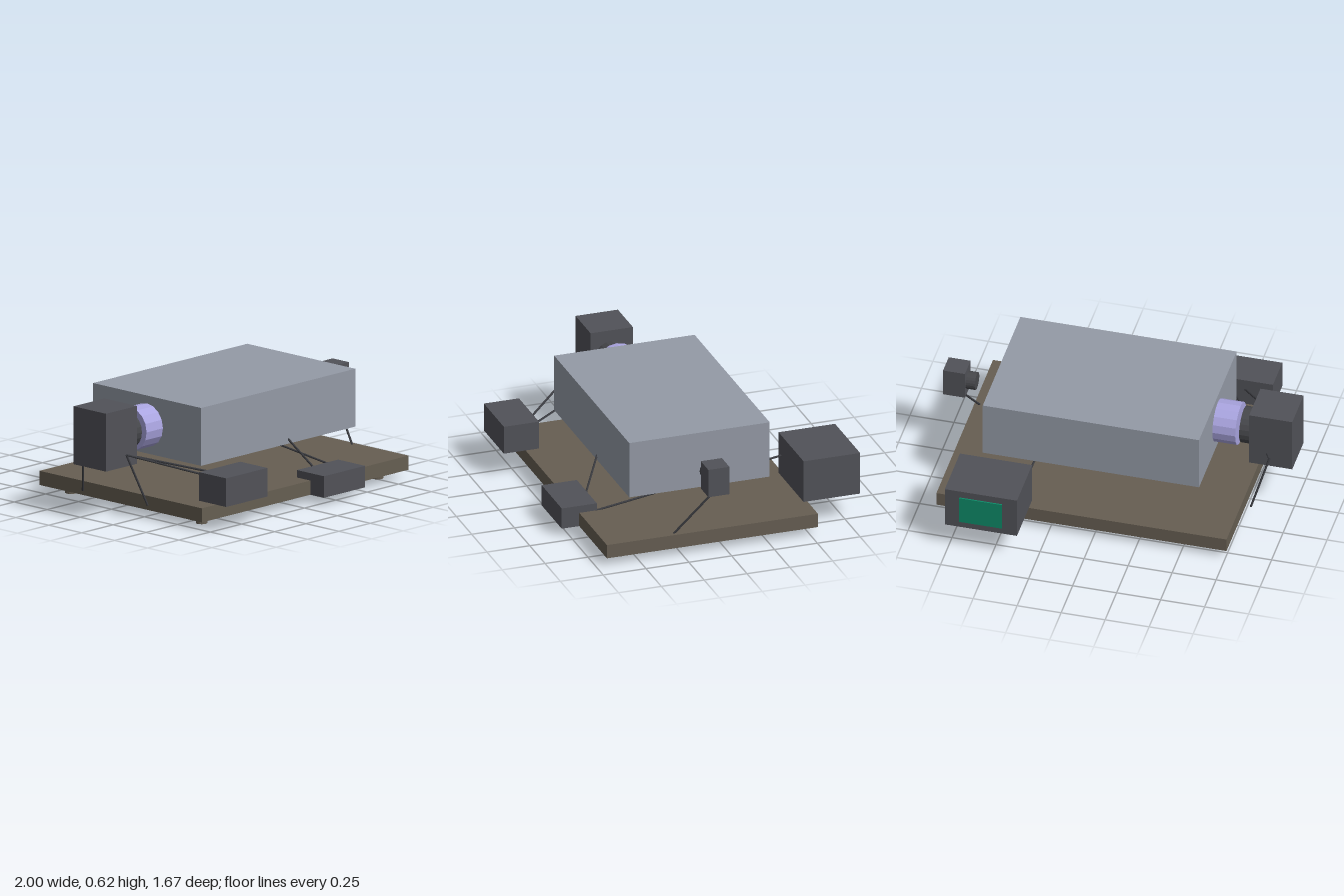
import * as THREE from 'three';

const material = (name, color) => {
  const m = new THREE.MeshStandardMaterial({ color, flatShading: true });
  m.name = name;
  return m;
};

export function createModel() {
  const model = new THREE.Group();
  model.name = 'benchInstrument';
  const grey = material('housing grey', 0x949aa6);
  const dark = material('device charcoal', 0x515258);
  const lens = material('lens black', 0x47484c);
  const cableMat = material('cable black', 0x3a3b40);
  const lavender = material('tube lavender', 0xaaa5e0);
  const brown = material('board brown', 0x665e52);
  const green = material('screen green', 0x0d8a68);

  const add = (name, geometry, mat) => {
    const mesh = new THREE.Mesh(geometry, mat);
    mesh.name = name;
    model.add(mesh);
    return mesh;
  };
  // Box given by its extents on each axis
  const box = (name, mat, [x0, x1], [y0, y1], [z0, z1]) =>
    add(name, new THREE.BoxGeometry(x1 - x0, y1 - y0, z1 - z0), mat)
      .position.set((x0 + x1) / 2, (y0 + y1) / 2, (z0 + z1) / 2);
  // Cylinder lying along x on the optical axis
  const barrel = (name, mat, x0, x1, r, sides) => {
    const mesh = add(name, new THREE.CylinderGeometry(r, r, x1 - x0, sides), mat);
    mesh.rotation.z = Math.PI / 2;
    mesh.position.set((x0 + x1) / 2, 0.455, 0.074);
  };
  // Straight thin rod between two points
  const rod = (name, from, to) => {
    const a = new THREE.Vector3(...from), b = new THREE.Vector3(...to);
    const dir = b.clone().sub(a);
    const mesh = add(name, new THREE.CylinderGeometry(0.006, 0.006, dir.length(), 8), cableMat);
    mesh.position.copy(a).add(b).multiplyScalar(0.5);
    mesh.quaternion.setFromUnitVectors(new THREE.Vector3(0, 1, 0), dir.normalize());
  };

  // Base board and feet
  box('baseBoard', brown, [-0.755, 0.893], [0.045, 0.125], [-0.542, 0.69]);
  for (const x of [-0.632, 0.77])
    for (const z of [-0.42, 0.572])
      add('foot', new THREE.CylinderGeometry(0.032, 0.032, 0.045, 16), brown)
        .position.set(x, 0.0225, z);

  // Main housing with its entrance tube
  box('mainHousing', grey, [-0.545, 0.684], [0.292, 0.62], [-0.335, 0.485]);
  barrel('entranceTube', lavender, -0.675, -0.545, 0.121, 16);

  // Large camera on one end, small camera on the other
  box('largeCamera', dark, [-1, -0.755], [0.292, 0.62], [-0.05, 0.197]);
  barrel('largeLens', lens, -0.755, -0.692, 0.102, 20);
  box('smallCamera', dark, [0.876, 1], [0.375, 0.54], [0.013, 0.136]);
  barrel('smallLens', lens, 0.823, 0.876, 0.05, 20);

  // Control boxes around the board
  box('sideControlBox', dark, [-0.713, -0.385], [0.15, 0.312], [0.63, 0.835]);
  box('frontControlBox', dark, [0.112, 0.44], [0.045, 0.167], [0.587, 0.792]);
  box('rearDisplayBox', dark, [0.36, 0.77], [0.15, 0.395], [-0.832, -0.502]);
  box('displayScreen', green, [0.444, 0.686], [0.19, 0.354], [-0.84, -0.832]);

  // Camera stays
  rod('largeCameraStay', [-0.88, 0.372, 0.237], [-0.797, 0.085, 0.32]);
  rod('largeCameraStay', [-0.88, 0.372, -0.09], [-0.797, 0.085, -0.173]);
  rod('largeCameraStayEnd', [-0.88, 0.372, -0.09], [-0.855, 0.372, -0.045]);
  rod('smallCameraStay', [0.937, 0.38, 0.075], [0.865, 0.122, 0.29]);

  // Cables between devices
  rod('sideCable', [-0.88, 0.372, 0.237], [-0.55, 0.245, 0.64]);
  rod('sideCable', [-0.77, 0.335, 0.11], [-0.475, 0.25, 0.64]);
  rod('frontCable', [0.15, 0.32, 0.482], [0.27, 0.125, 0.6]);
  rod('rearCable', [0.4, 0.272, -0.505], [0.436, 0.122, 0.6]);
  return model;
}
